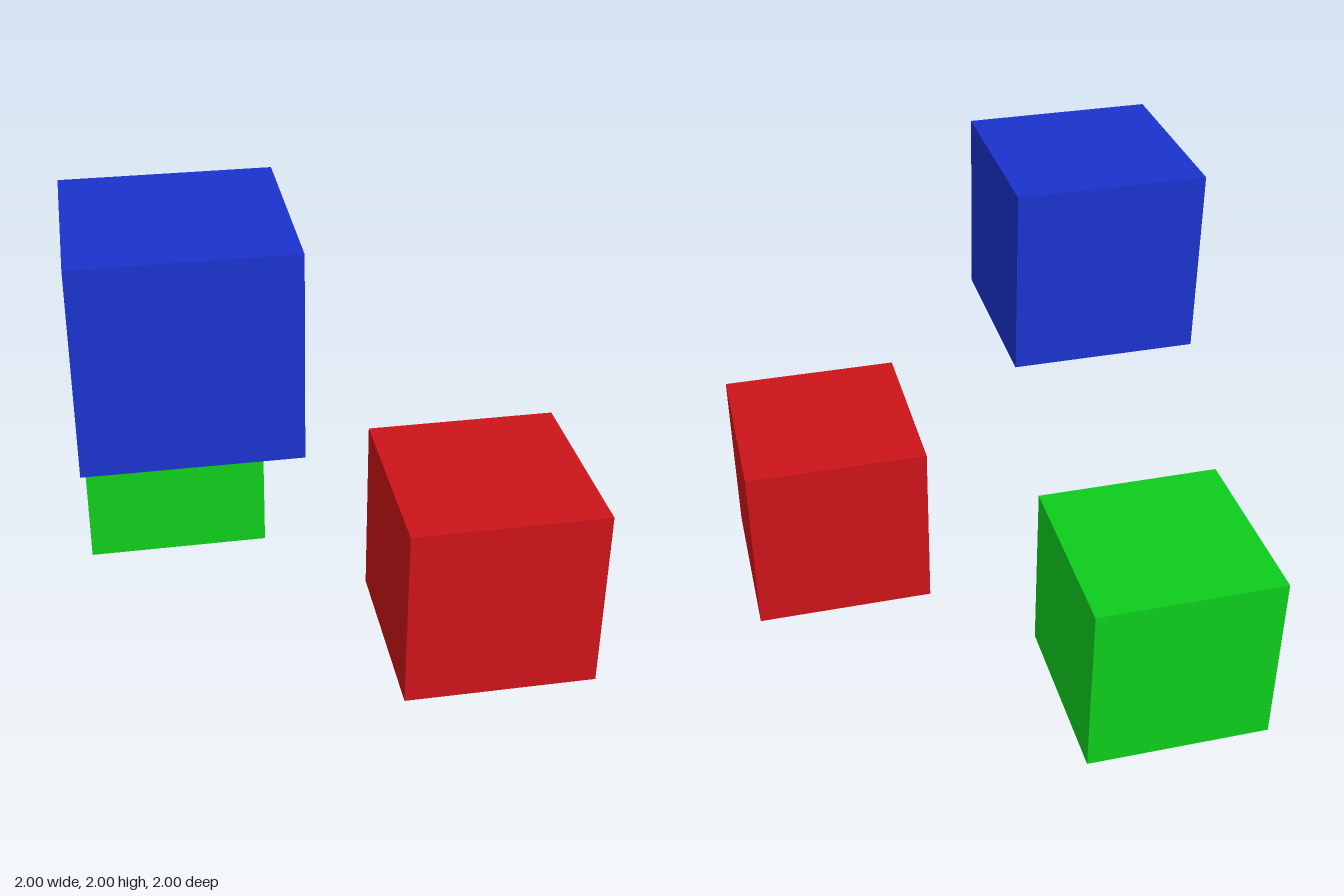
import * as THREE from 'three';

const SIZE = 0.8;

// One cube per axis direction, around a shared empty corner
const CUBES = [
  { name: 'redCube', color: 0xcc1418, position: [0.6, 0.4, 0.6] },
  { name: 'greenCube', color: 0x0ecc1c, position: [-0.6, 0.4, -0.6] },
  { name: 'blueCube', color: 0x1932cc, position: [-0.6, 1.6, 0.6] },
];

export function createModel() {
  const model = new THREE.Group();
  model.name = 'axisCubes';
  const geometry = new THREE.BoxGeometry(SIZE, SIZE, SIZE);

  for (const { name, color, position } of CUBES) {
    const cube = new THREE.Mesh(geometry, new THREE.MeshStandardMaterial({ color }));
    cube.name = name;
    cube.position.set(...position);
    model.add(cube);
  }
  return model;
}
